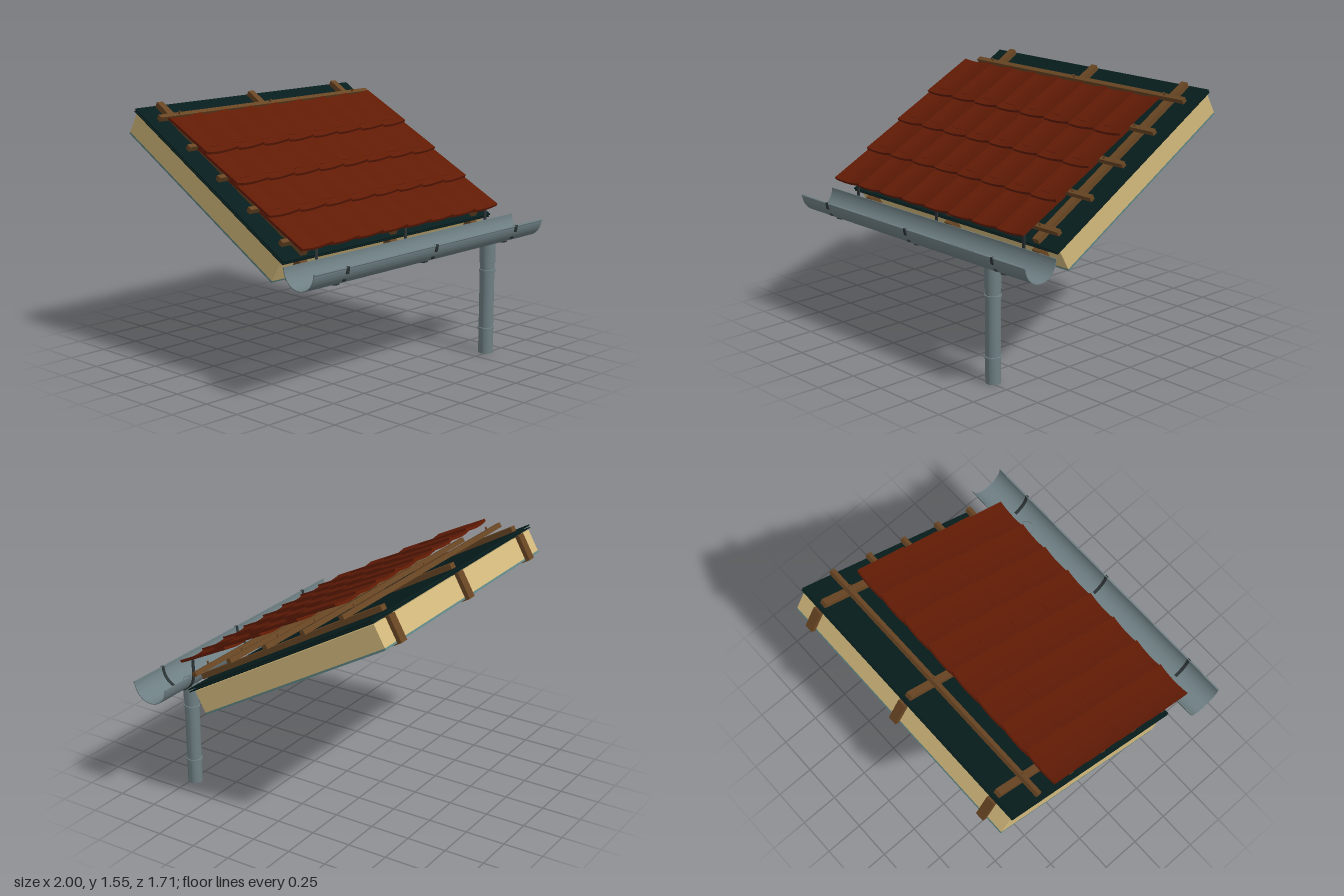
import * as THREE from 'three';
import { toCreasedNormals } from 'three/addons/utils/BufferGeometryUtils.js';

const mat = (name, color, side = THREE.FrontSide) => {
  const m = new THREE.MeshStandardMaterial({ color, side });
  m.name = name;
  return m;
};

export function createModel() {
  const clay = mat('clay red', 0x611b05);
  const wood = mat('brown timber', 0x684523);
  const wool = mat('pale insulation', 0xd2b97c);
  const felt = mat('dark membrane', 0x071d1d);
  const vapour = mat('teal sheet', 0x5f8484);
  const zinc = mat('grey metal', 0x6e7f83, THREE.DoubleSide);
  const iron = mat('dark iron', 0x2c3335);

  const model = new THREE.Group();
  model.name = 'roofSection';
  const add = (parent, name, geo, material, x = 0, y = 0, z = 0) => {
    const m = new THREE.Mesh(geo, material);
    m.name = name;
    m.position.set(x, y, z);
    parent.add(m);
    return m;
  };

  // Pitched frame: local z runs down the slope, local y is the roof normal
  const roof = new THREE.Group();
  roof.name = 'pitchedRoof';
  roof.position.y = 1;
  roof.rotation.x = Math.PI / 6;
  model.add(roof);
  // Box given by its extents across (x), normal (y) and slope (z)
  const slab = (name, material, x, w, y0, y1, z0, z1) =>
    add(roof, name, new THREE.BoxGeometry(w, y1 - y0, z1 - z0), material, x, (y0 + y1) / 2, (z0 + z1) / 2);

  // Insulation with sheets below and above
  slab('insulation', wool, 0, 1.78, -0.085, 0.055, -0.895, 0.52);
  slab('vapourSheet', vapour, 0, 1.78, -0.097, -0.085, -0.895, 0.52);
  slab('lowerMembrane', felt, 0, 1.81, 0.061, 0.067, -0.905, 0.55);
  slab('upperMembrane', felt, 0, 1.81, 0.075, 0.083, -0.905, 0.55);

  // Rafters and counter battens
  const bays = [-0.745, 0, 0.745];
  for (const x of bays) {
    slab('rafter', wood, x, 0.058, -0.105, 0.06, -0.922, 0.572);
    slab('counterBatten', wood, x, 0.045, 0.09, 0.123, -0.89, 0.54);
  }

  // Tile battens with nails at each crossing
  const nail = new THREE.CylinderGeometry(0.006, 0.006, 0.02, 8);
  for (let i = 0; i < 5; i++) {
    const s = 0.468 - i * 0.295;
    slab('tileBatten', wood, 0, 1.78, 0.133, 0.163, s - 0.015, s + 0.015);
    for (const x of bays) add(roof, 'nail', nail, wood, x, 0.171, s);
  }

  // Curved clay tile: a dished section swept along the slope
  const W = 0.24, L = 0.37, T = 0.016, N = 14;
  const dish = (u) => {
    const v = (2 * u) / W - 1;
    return 0.013 * v * v + 0.004 * v;
  };
  const section = [];
  for (let i = 0; i <= N; i++) section.push(new THREE.Vector2((i * W) / N, dish((i * W) / N) - T));
  for (let i = N; i >= 0; i--) section.push(new THREE.Vector2((i * W) / N, dish((i * W) / N)));
  const tileGeo = toCreasedNormals(
    new THREE.ExtrudeGeometry(new THREE.Shape(section), { depth: L, bevelEnabled: false }).translate(0, 0, -L), 0.6);
  const nibGeo = new THREE.BoxGeometry(0.1, 0.02, 0.01);
  for (let row = 0; row < 4; row++) {
    const course = new THREE.Group();
    course.name = 'tileCourse';
    course.position.set(-0.905, 0.231, 0.627 - row * 0.295);
    course.rotation.x = -0.06;
    roof.add(course);
    for (let col = 0; col < 8; col++) {
      const x = col * 0.2075;
      add(course, 'tile', tileGeo, clay, x, 0, 0);
      if (row < 3) add(course, 'tileNib', nibGeo, clay, x + 0.105, 0.01, -L + 0.02);
    }
  }

  // Arc band around the gutter axis, extruded along x
  const GY = 0.8, GZ = 0.73;
  const band = (r0, r1, a0, a1, width) => {
    const s = new THREE.Shape();
    s.absarc(0, 0, r1, a0, a1, false);
    s.absarc(0, 0, r0, a1, a0, true);
    const g = new THREE.ExtrudeGeometry(s, { depth: width, bevelEnabled: false, curveSegments: 24 });
    return toCreasedNormals(g.translate(0, 0, -width / 2).rotateY(Math.PI / 2), 0.5);
  };

  // Half-round gutter with a front bead
  add(model, 'gutter', band(0.113, 0.118, Math.PI, 2 * Math.PI, 2), zinc, 0, GY, GZ);
  add(model, 'gutterBead', new THREE.CylinderGeometry(0.006, 0.006, 2, 10).rotateZ(Math.PI / 2), zinc, 0, GY - 0.006, GZ + 0.118);

  // Gutter brackets: strap pieces showing outside, clip inside the front, upright stem behind
  const straps = [[0, 0.35], [0.66, 0.8], [1.2, Math.PI]]
    .map(([a, b]) => band(0.117, 0.125, Math.PI + a, Math.PI + b, 0.02));
  const clip = band(0.109, 0.114, Math.PI, Math.PI * 1.45, 0.02);
  const stem = new THREE.BoxGeometry(0.02, 0.11, 0.007);
  for (const x of [-0.74, 0, 0.74]) {
    for (const strap of straps) add(model, 'bracketStrap', strap, iron, x, GY, GZ);
    add(model, 'bracketClip', clip, iron, x, GY, GZ);
    add(model, 'bracketStem', stem, iron, x, 0.845, 0.608);
  }

  // Open downpipe with a wider top sleeve and two joint rings
  const pipe = [[0.045, 0], [0.045, 0.148], [0.05, 0.15], [0.05, 0.162], [0.045, 0.164], [0.045, 0.512],
    [0.05, 0.514], [0.05, 0.528], [0.045, 0.53], [0.045, 0.568], [0.049, 0.57], [0.049, 0.703], [0.044, 0.703], [0.042, 0]];
  const pipeGeo = new THREE.LatheGeometry(pipe.map(([r, y]) => new THREE.Vector2(r, y)), 32);
  add(model, 'downpipe', toCreasedNormals(pipeGeo, 0.5), zinc, 0.618, 0, GZ);

  return model;
}
